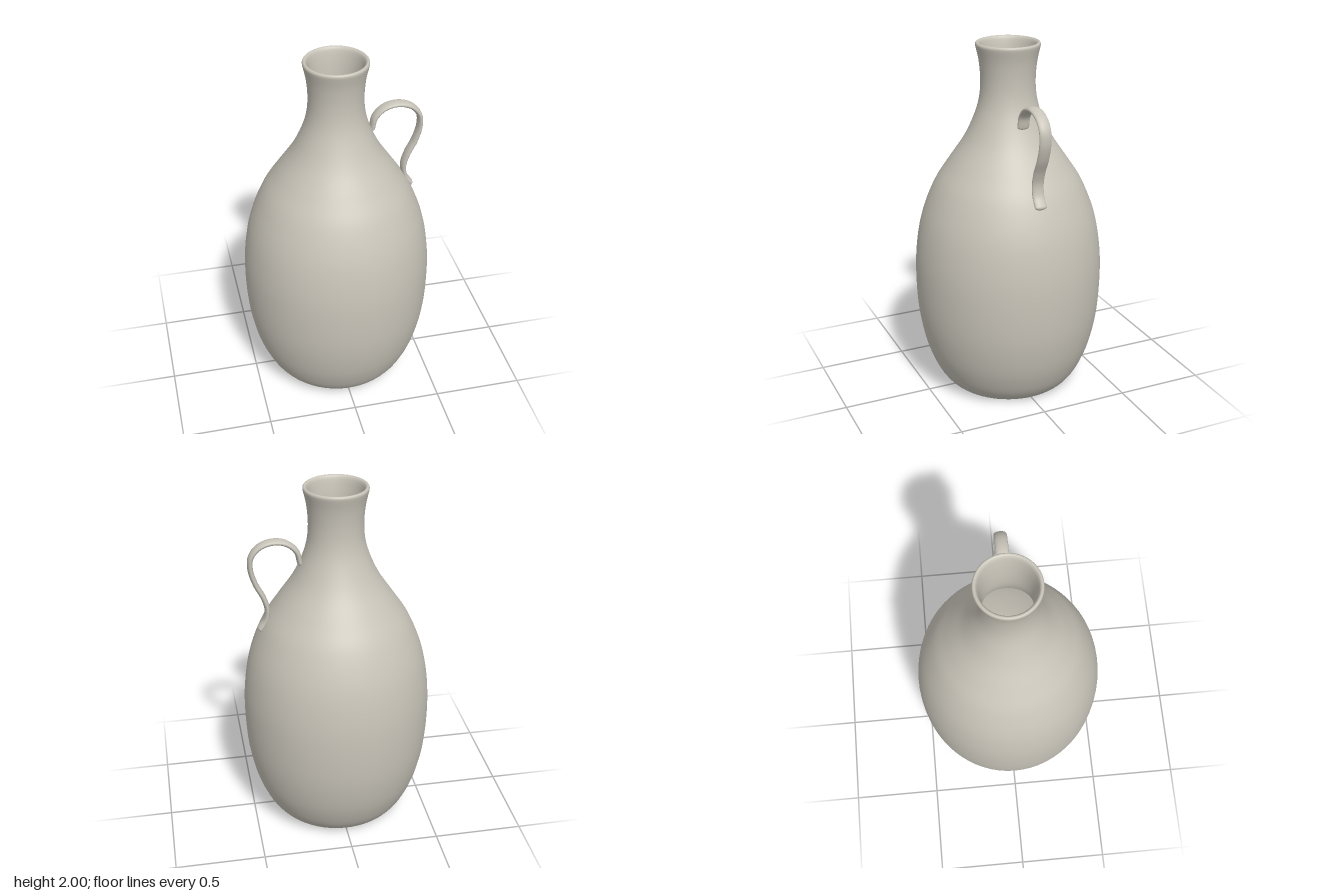
import * as THREE from 'three';

const vectors = (list) => list.map(([x, y]) => new THREE.Vector2(x, y));

export function createModel() {
  const group = new THREE.Group();
  const clay = new THREE.MeshStandardMaterial({ color: 0xc8c4b9 });
  clay.name = 'pale stoneware';

  const add = (name, geometry, parent = group) => {
    const mesh = new THREE.Mesh(geometry, clay);
    mesh.name = name;
    parent.add(mesh);
    return mesh;
  };
  const turned = (points) => new THREE.LatheGeometry(points, 64);
  const smooth = (list, n) => new THREE.SplineCurve(vectors(list)).getPoints(n);

  // Outer wall, from the foot up to the rim
  const outer = [
    [0.305, 0], [0.335, 0.008], [0.38, 0.05], [0.427, 0.125], [0.478, 0.257],
    [0.515, 0.44], [0.528, 0.65], [0.52, 0.84], [0.485, 1.03], [0.415, 1.21],
    [0.333, 1.34], [0.243, 1.475], [0.185, 1.6], [0.157, 1.7], [0.15, 1.8],
    [0.158, 1.9], [0.174, 1.975],
  ];
  add('outerWall', turned(smooth(outer, 80)));

  // Rounded lip
  add('rim', turned(smooth([
    [0.174, 1.975], [0.176, 1.99], [0.17, 2], [0.16, 1.998], [0.152, 1.985], [0.146, 1.96],
  ], 20)));

  // Hollow inside, from the lip down to the floor
  add('innerWall', turned(smooth([
    [0.146, 1.96], [0.137, 1.9], [0.13, 1.8], [0.135, 1.7], [0.163, 1.6],
    [0.222, 1.475], [0.312, 1.34], [0.392, 1.21], [0.462, 1.03], [0.497, 0.84],
    [0.505, 0.65], [0.492, 0.44], [0.455, 0.257], [0.4, 0.125], [0.33, 0.06],
  ], 70)));
  add('innerFloor', turned(vectors([[0.33, 0.06], [0, 0.06]])));

  // Foot ring and recessed underside
  add('footRing', turned(smooth([[0.27, 0.025], [0.278, 0.008], [0.29, 0.001], [0.305, 0]], 12)));
  add('underside', turned(vectors([[0, 0.025], [0.27, 0.025]])));

  // Strap handle: a planar tube widened in z, with rounded ends
  const handle = new THREE.Group();
  handle.name = 'handle';
  group.add(handle);
  const path = new THREE.CatmullRomCurve3([
    [0.199, 1.58], [0.214, 1.64], [0.264, 1.69], [0.336, 1.707], [0.412, 1.685],
    [0.46, 1.63], [0.467, 1.56], [0.443, 1.47], [0.402, 1.385], [0.383, 1.315],
    [0.392, 1.25], [0.424, 1.2],
  ].map(([x, y]) => new THREE.Vector3(x, y, 0)));
  const radius = 0.015;
  const widen = 2.3;
  add('strap', new THREE.TubeGeometry(path, 72, radius, 16).scale(1, 1, widen), handle);
  for (const t of [0, 1]) {
    const end = add('strapEnd', new THREE.SphereGeometry(radius, 16, 12).scale(1, 1, widen), handle);
    end.position.copy(path.getPoint(t));
  }
  return group;
}
